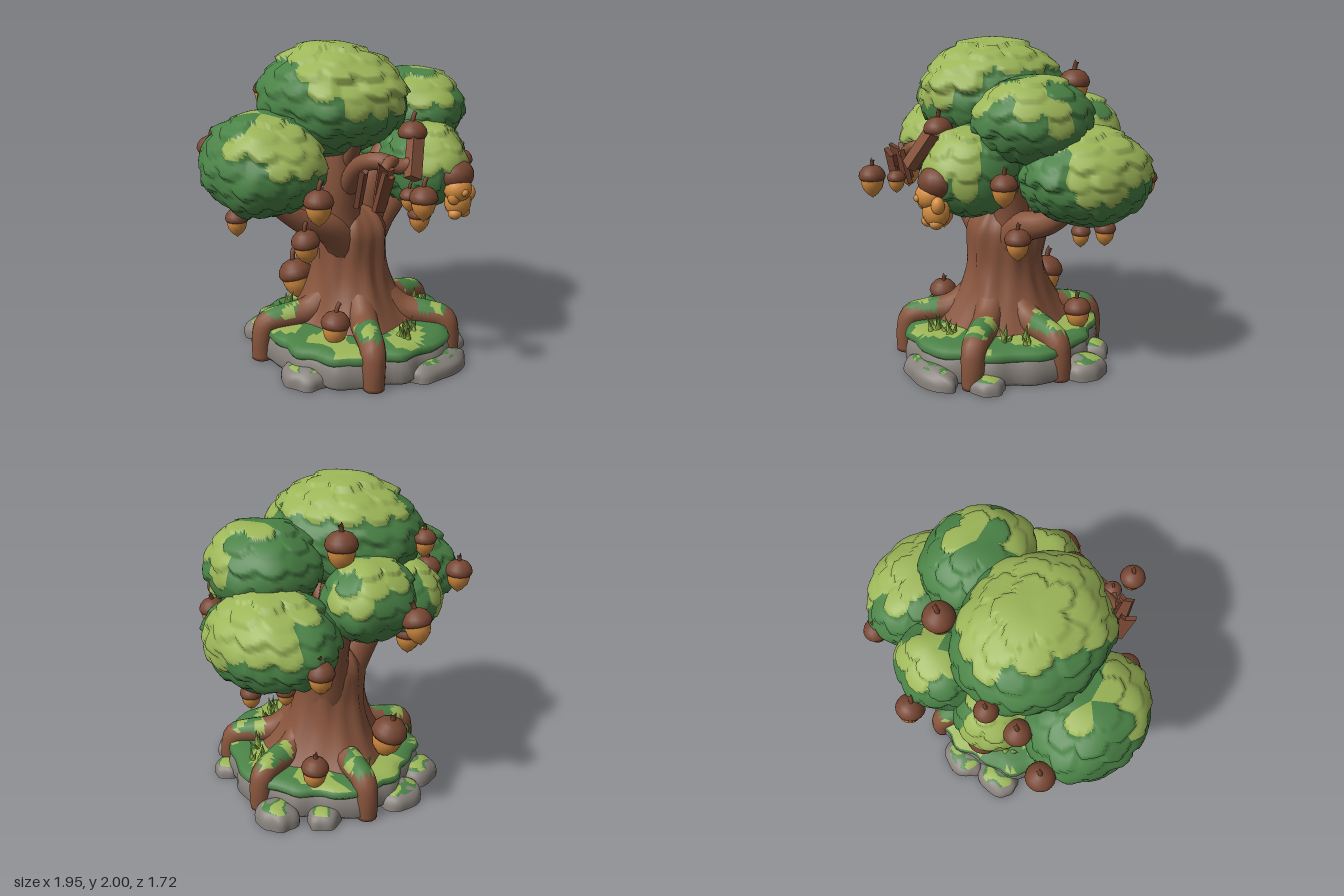
import * as THREE from 'three';
import { mergeVertices } from 'three/addons/utils/BufferGeometryUtils.js';

const mat = (name, color, side = THREE.FrontSide) => {
  const m = new THREE.MeshStandardMaterial({ color, side });
  m.name = name;
  return m;
};
const V = (x, y, z) => new THREE.Vector3(x, y, z);
const hash = (a, b) => { const s = Math.sin(a * 127.1 + b * 311.7) * 43758.5453; return s - Math.floor(s); };
const noise = (x, y, z) => (Math.sin(x * 3.1 + y * 1.7) + Math.sin(y * 2.9 - z * 3.7 + 1) + Math.sin(z * 2.6 + x * 2.2 + 2)) / 3;

export function createModel() {
  const bark = mat('bark', 0x87543c);
  const shell = mat('acorn cap brown', 0x774632);
  const nut = mat('acorn orange', 0xd48d40);
  const leaf = mat('leaf green', 0x4a8246);
  const light = mat('light leaf green', 0x9cb658);
  const stone = mat('stone grey', 0x88827c);
  const grass = mat('grass green', 0x93b54c, THREE.DoubleSide);
  const root = new THREE.Group();
  root.name = 'oakTree';

  const add = (name, geo, m, parent = root) => {
    const mesh = new THREE.Mesh(geo, m);
    mesh.name = name;
    parent.add(mesh);
    return mesh;
  };
  // Move every vertex by a rule, then weld and smooth
  const deform = (geo, rule) => {
    geo.deleteAttribute('uv');
    geo.deleteAttribute('normal');
    const p = geo.attributes.position, v = V(0, 0, 0);
    for (let i = 0; i < p.count; i++) {
      rule(v.fromBufferAttribute(p, i), i);
      p.setXYZ(i, v.x, v.y, v.z);
    }
    const out = mergeVertices(geo, 1e-5);
    out.computeVertexNormals();
    return out;
  };
  // Split the faces into material groups by a rule on the face centre
  const paint = (geo, pick) => {
    const idx = geo.index.array, p = geo.attributes.position, sets = [[], [], []];
    for (let i = 0; i < idx.length; i += 3) {
      const c = V(0, 0, 0);
      for (let k = 0; k < 3; k++) c.add(V(0, 0, 0).fromBufferAttribute(p, idx[i + k]));
      sets[Number(pick(c.divideScalar(3)))].push(idx[i], idx[i + 1], idx[i + 2]);
    }
    geo.setIndex(sets.flat());
    let start = 0;
    sets.forEach((s, k) => { if (s.length) geo.addGroup(start, s.length, k); start += s.length; });
    return geo;
  };
  // Tapered tube with closed tip
  const limb = (name, pts, r0, r1, seg = 20) => {
    const curve = new THREE.CatmullRomCurve3(pts.map(q => V(...q)));
    const geo = deform(new THREE.TubeGeometry(curve, seg, 1, 14), (v, i) => {
      const ring = Math.floor(i / 15), u = Math.min(ring, seg - 1) / (seg - 1);
      const r = ring === seg ? 0 : r0 + (r1 - r0) * u;
      v.sub(curve.getPointAt(ring / seg)).multiplyScalar(r).add(curve.getPointAt(u));
    });
    return add(name, geo, bark);
  };

  // Trunk, flared towards each root and rounded in under the fork
  const rootEnds = [[-0.33, 0.5], [0.37, 0.48], [0.59, 0], [0.25, -0.57], [-0.55, -0.28]];
  const rootAngles = rootEnds.map(([x, z]) => Math.atan2(z, x));
  add('trunk', deform(new THREE.CylinderGeometry(1, 1, 0.8, 56, 24), v => {
    const y = v.y + 0.58, a = Math.atan2(v.z, v.x), rim = Math.hypot(v.x, v.z);
    const low = Math.max(0, (0.66 - y) / 0.48), top = Math.max(0, (y - 0.78) / 0.2);
    let r = (0.22 + 0.11 * low * low) * Math.sqrt(1 - 0.85 * top * top);
    for (const q of rootAngles) r += 0.11 * low * low * Math.pow(Math.max(0, Math.cos(a - q)), 6);
    r += 0.009 * Math.sin(a * 7 + Math.sin(y * 6) * 1.5) + 0.005 * Math.sin(a * 13 + y * 4);
    v.set(Math.cos(a) * r * rim, y, Math.sin(a) * r * rim * 1.13 - 0.05);
  }), bark);

  // Roots running out level, then dropping over the rim, mossy on the bend
  rootEnds.forEach(([x, z], k) => {
    const r = limb('root', [[x * 0.25, 0.4, z * 0.25], [x * 0.5, 0.29, z * 0.5], [x * 0.78, 0.262, z * 0.78],
      [x * 0.95, 0.235, z * 0.95], [x, 0.14, z], [x * 1.01, 0, z * 1.01]], 0.1, 0.065, 32);
    paint(r.geometry, p => {
      const d = Math.hypot(p.x - x * 0.82, p.z - z * 0.82), n = noise(p.x * 12 + k, 0, p.z * 12);
      return p.y > 0.285 && d < 0.11 + 0.05 * n ? (n > 0.2 ? 2 : 1) : 0;
    });
    r.material = [bark, leaf, light];
  });

  // Branches
  limb('leftFork', [[-0.07, 0.68, -0.03], [-0.11, 0.92, -0.01], [-0.15, 1.15, 0.02], [-0.17, 1.55, 0]], 0.15, 0.06);
  limb('rightFork', [[0.08, 0.68, -0.03], [0.11, 0.92, -0.01], [0.14, 1.15, 0.04], [0.3, 1.5, 0.08]], 0.14, 0.06);
  limb('backFork', [[0.07, 0.65, -0.12], [0.14, 1.0, -0.2], [0.17, 1.4, -0.38]], 0.14, 0.07);
  limb('backLeftBranch', [[-0.06, 0.7, -0.12], [-0.17, 1.02, -0.24], [-0.22, 1.3, -0.42]], 0.13, 0.06);
  limb('leftBranch', [[-0.05, 0.68, 0], [-0.23, 0.86, 0.02], [-0.42, 0.94, 0], [-0.65, 1.1, -0.05]], 0.13, 0.04);
  limb('rightBranch', [[0.05, 0.68, 0], [0.22, 0.86, 0], [0.42, 0.93, -0.05], [0.65, 1.1, -0.12]], 0.13, 0.04);
  limb('frontBranch', [[-0.12, 1.08, 0.03], [-0.2, 1.3, 0.25], [-0.2, 1.35, 0.4], [-0.12, 1.32, 0.5], [-0.07, 1.34, 0.54]], 0.065, 0.045);
  limb('frontTwig', [[-0.12, 1.32, 0.46], [-0.2, 1.36, 0.49], [-0.3, 1.3, 0.52]], 0.04, 0.03);
  limb('innerTwig', [[-0.14, 1.3, 0.1], [-0.2, 1.42, 0.2], [-0.24, 1.55, 0.24]], 0.05, 0.035);

  // Foliage clumps: overlapping rounded leaf rows
  const cell = (d, rows) => {
    const t = Math.acos(THREE.MathUtils.clamp(d.y, -1, 1)) / Math.PI * rows, az = Math.atan2(d.z, d.x);
    const count = r => Math.max(5, Math.round(rows * 1.75 * Math.sin((r + 0.6) / rows * Math.PI)));
    const part = r => ((az / (2 * Math.PI) + 1 + hash(r, 3)) % 1) * count(r);
    let row = Math.floor(t), h = t - row;
    const lobe = 0.6 * Math.sqrt(Math.abs(Math.sin(part(row - 1) * Math.PI)));
    if (row > 0 && h < lobe) { row--; h += 1; }
    const id = Math.floor(part(row)), a = ((id + 0.5) / count(row) - hash(row, 3)) * 2 * Math.PI;
    const phi = (row + 0.8) / rows * Math.PI;
    return { h: h / 1.6, id: row ? hash(row, id) : 0.6, c: V(Math.sin(phi) * Math.cos(a), Math.cos(phi), Math.sin(phi) * Math.sin(a)) };
  };
  // centre, radii, leaf rows, light patches (direction, angular radius)
  const clumps = [
    ['crownTop', [-0.14, 1.65, -0.06], [0.42, 0.35, 0.49], 10, [[0.15, 1, 0.05, 52], [-0.05, 0.45, 0.9, 38], [-0.6, 0.6, 0.5, 22]]],
    ['crownRight', [0.42, 1.55, 0.08], [0.32, 0.27, 0.36], 8, [[-0.2, 0.6, 0.75, 27], [0.5, 0.6, 0.6, 25], [0.2, 1, 0, 22], [0.9, 0.35, 0.1, 18]]],
    ['crownFarRight', [0.63, 1.23, -0.16], [0.34, 0.3, 0.42], 9, [[0.35, 0.9, 0, 45], [0.9, 0.3, 0.3, 30], [0.8, 0.5, -0.45, 25]]],
    ['crownLeft', [-0.63, 1.3, -0.12], [0.34, 0.32, 0.41], 9, [[-0.05, 0.7, 0.7, 33], [0.5, 0.25, 0.8, 22], [0, 1, -0.4, 14], [-0.6, 0.55, 0.5, 17]]],
    ['crownFront', [0.22, 1.26, 0.36], [0.26, 0.28, 0.3], 7, [[-0.25, 0.6, 0.75, 42], [0.75, 0.25, 0.6, 25], [0.3, 0.9, 0.2, 25]]],
    ['crownBack', [0.17, 1.41, -0.49], [0.28, 0.25, 0.26], 7, [[0.1, 0.9, -0.4, 42], [0.85, 0.35, -0.3, 25]]],
    ['crownBackLeft', [-0.22, 1.3, -0.46], [0.23, 0.24, 0.24], 7, [[-0.4, 0.55, -0.65, 55]]],
  ];
  clumps.forEach(([name, c, r, rows, patches], k) => {
    const spots = patches.map(([x, y, z, deg]) => [V(x, y, z).normalize(), deg * Math.PI / 180]);
    const geo = deform(new THREE.SphereGeometry(1, 96, 58), v => {
      const { h, id } = cell(v, rows), under = v.y < 0 ? 0.93 : 1;
      v.multiplyScalar(0.91 + 0.04 * noise(v.x * 2 + k, v.y * 2, v.z * 2) + 0.085 * h + 0.055 * id);
      v.y *= under;
    });
    paint(geo, p => {
      const q = cell(p.normalize(), rows).c;
      const wobble = 0.13 * noise(q.x * 3 + k * 2, q.y * 3, q.z * 3 + k);
      return spots.some(([d, size]) => q.angleTo(d) < size + wobble);
    });
    geo.scale(...r);
    geo.computeVertexNormals();
    add(name, geo, [leaf, light]).position.set(...c);
  });

  // Acorns hang from their stems; origin at the rim of the cap
  const lathe = (pts, n = 24) => new THREE.LatheGeometry(pts.map(q => new THREE.Vector2(...q)), n);
  const nutGeo = lathe([[0, -0.135], [0.008, -0.125], [0.035, -0.105], [0.062, -0.07], [0.073, -0.03], [0.073, 0.01]]);
  const capGeo = lathe([[0.05, -0.01], [0.079, -0.01], [0.087, 0.01], [0.08, 0.038], [0.058, 0.066], [0.028, 0.08], [0, 0.082]]);
  const stemGeo = new THREE.TubeGeometry(new THREE.QuadraticBezierCurve3(V(0, 0.07, 0), V(0, 0.11, 0), V(0.022, 0.13, 0)), 6, 0.013, 8);
  const acorn = (x, y, z, s = 1, tx = 0, tz = 0) => {
    const g = new THREE.Group();
    g.name = 'acorn';
    add('acornNut', nutGeo, nut, g);
    add('acornCap', capGeo, shell, g);
    add('acornStem', stemGeo, shell, g);
    g.position.set(x, y, z);
    g.scale.setScalar(s);
    g.rotation.set(tx, 0, tz);
    root.add(g);
  };
  [[-0.58, 1.15, 0.31], [-0.23, 1.2, 0.77, 0.92], [-0.19, 1.18, 0.63, 0.65], [-0.5, 0.85, 0.1, 1, 0, 0.12],
    [0.41, 0.85, 0.18, 0.92], [0.55, 1.23, 0.39, 0.9], [0.55, 0.87, -0.19, 0.68], [-0.77, 0.99, -0.2, 0.8],
    [0.79, 0.95, -0.15, 0.72], [0.69, 1.17, -0.57, 0.9], [0.13, 1.34, -0.79, 1, 0.25], [0.27, 1.72, -0.37, 1.1],
    [-0.27, 1.66, -0.56, 0.8], [-0.43, 1.42, -0.49, 0.95], [-0.68, 1.34, -0.57, 1], [-0.16, 1.1, -0.55, 1],
    // fallen acorns
    [-0.36, 0.32, 0.2, 1.05, 0, -0.1], [0.42, 0.31, -0.3, 1, 0, 0.1], [-0.1, 0.39, -0.48, 1.35, -0.2, 0.1],
  ].forEach(a => acorn(...a));

  // Broken branch end: a split plank with a cap on its tip
  const plank = add('brokenPlank', new THREE.BoxGeometry(0.085, 0.26, 0.06), bark);
  plank.position.set(-0.055, 1.37, 0.54);
  plank.rotation.set(-0.4, 0, -0.48);
  for (const [name, geo] of [['branchTipCap', capGeo], ['branchTipStem', stemGeo]]) {
    add(name, geo, shell).position.set(0.015, 1.48, 0.46);
  }
  // Splintered bark boards
  [[-0.41, 1.24, 0.45, 0.2], [-0.33, 1.22, 0.55, -0.25], [-0.27, 1.25, 0.5, 0.1]].forEach(([x, y, z, t], i) => {
    const s = new THREE.Shape();
    s.moveTo(-0.04, -0.11); s.lineTo(0.04, -0.12); s.lineTo(0.045, 0.1); s.lineTo(0.01, 0.085); s.lineTo(-0.045, 0.125);
    const board = add('barkBoard', new THREE.ExtrudeGeometry(s, { depth: 0.03, bevelEnabled: false }), shell);
    board.position.set(x, y, z);
    board.rotation.set(0.25, 0.5 - i * 0.5, t * 0.4);
  });

  // Little acorn-capped creature clinging to the front clump
  const ball = (name, m, p, s) => {
    const b = add(name, new THREE.SphereGeometry(1, 18, 12), m);
    b.position.set(...p);
    b.scale.set(...s);
  };
  ball('creatureCap', shell, [0.23, 1.235, 0.61], [0.118, 0.095, 0.11]);
  ball('creatureHead', nut, [0.21, 1.16, 0.65], [0.09, 0.08, 0.08]);
  ball('creatureBody', nut, [0.24, 1.07, 0.63], [0.09, 0.09, 0.075]);
  ball('creatureNose', nut, [0.19, 1.15, 0.72], [0.025, 0.022, 0.02]);
  for (const s of [-1, 1]) {
    ball('creatureArm', nut, [0.235 + s * 0.07, 1.12, 0.66], [0.04, 0.05, 0.038]);
    ball('creatureFoot', nut, [0.23 + s * 0.04, 1.01, 0.65], [0.042, 0.035, 0.04]);
  }

  // Rock base and moss top
  const rim = a => 1 + 0.03 * Math.sin(a * 5 + 1) + 0.02 * Math.sin(a * 11) + 0.015 * Math.sin(a * 17 + 2);
  const wavy = (pts, extra) => deform(lathe(pts, 96), v => {
    const a = Math.atan2(v.z, v.x), k = rim(a) + extra * Math.abs(Math.sin(a * 9));
    v.x *= k; v.z *= k * 1.03;
  });
  add('rockBase', wavy([[0, 0], [0.59, 0], [0.615, 0.03], [0.61, 0.1], [0.595, 0.16], [0.56, 0.19], [0, 0.19]], 0), stone);
  const turf = wavy([[0.5, 0.16], [0.585, 0.152], [0.603, 0.175], [0.59, 0.207], [0.54, 0.222], [0.5, 0.226], [0.45, 0.229], [0.4, 0.232], [0.3, 0.238], [0.2, 0.24], [0, 0.24]], 0.025);
  add('mossTop', paint(turf, p => p.y > 0.21 && noise(p.x * 5, 1, p.z * 5) > 0.1), [leaf, light]);

  // Low stones round the rim, mossy on top
  [[0.12, 0.61, 0.24, 0.11, 0.12], [0.44, 0.43, 0.11, 0.1, 0.09], [-0.55, 0.14, 0.14, 0.16, 0.12],
    [0.63, -0.17, 0.12, 0.14, 0.12], [0.45, -0.4, 0.12, 0.1, 0.1], [-0.03, -0.63, 0.16, 0.12, 0.11],
    [-0.3, -0.57, 0.16, 0.12, 0.12]].forEach(([x, z, rx, rz, h], i) => {
    const geo = deform(new THREE.SphereGeometry(1, 36, 28), v => {
      const k = 1 + 0.1 * noise(v.x * 2 + i, v.y, v.z * 2);
      v.set(v.x * rx * k, Math.max(0, Math.sign(v.y) * Math.pow(Math.abs(v.y), 0.65)) * h, v.z * rz * k);
    });
    paint(geo, p => {
      const n = noise(p.x * 13 + i * 2, 0, p.z * 13);
      return p.y > h * 0.78 && n > -0.3 ? (n > 0.15 ? 2 : 1) : 0;
    });
    add('rimStone', geo, [stone, leaf, light]).position.set(x, 0, z);
  });

  // Grass tufts
  const blade = new THREE.ConeGeometry(0.02, 0.11, 5).translate(0, 0.05, 0);
  [[0, 0.45], [0.09, 0.43], [-0.06, 0.48], [0.36, 0.24], [0.46, 0.16], [-0.25, -0.42], [0.1, -0.46]].forEach(([x, z], t) => {
    for (let i = 0; i < 4; i++) {
      const b = add('grassBlade', blade, grass);
      b.position.set(x + (hash(t, i) - 0.5) * 0.09, 0.22, z + (hash(i, t + 9) - 0.5) * 0.06);
      b.rotation.set((hash(t + 4, i) - 0.5) * 0.9, 0, (hash(t + 7, i) - 0.5) * 1.1);
      b.scale.setScalar(0.7 + 0.5 * hash(t, i + 20));
    }
  });
  return root;
}
